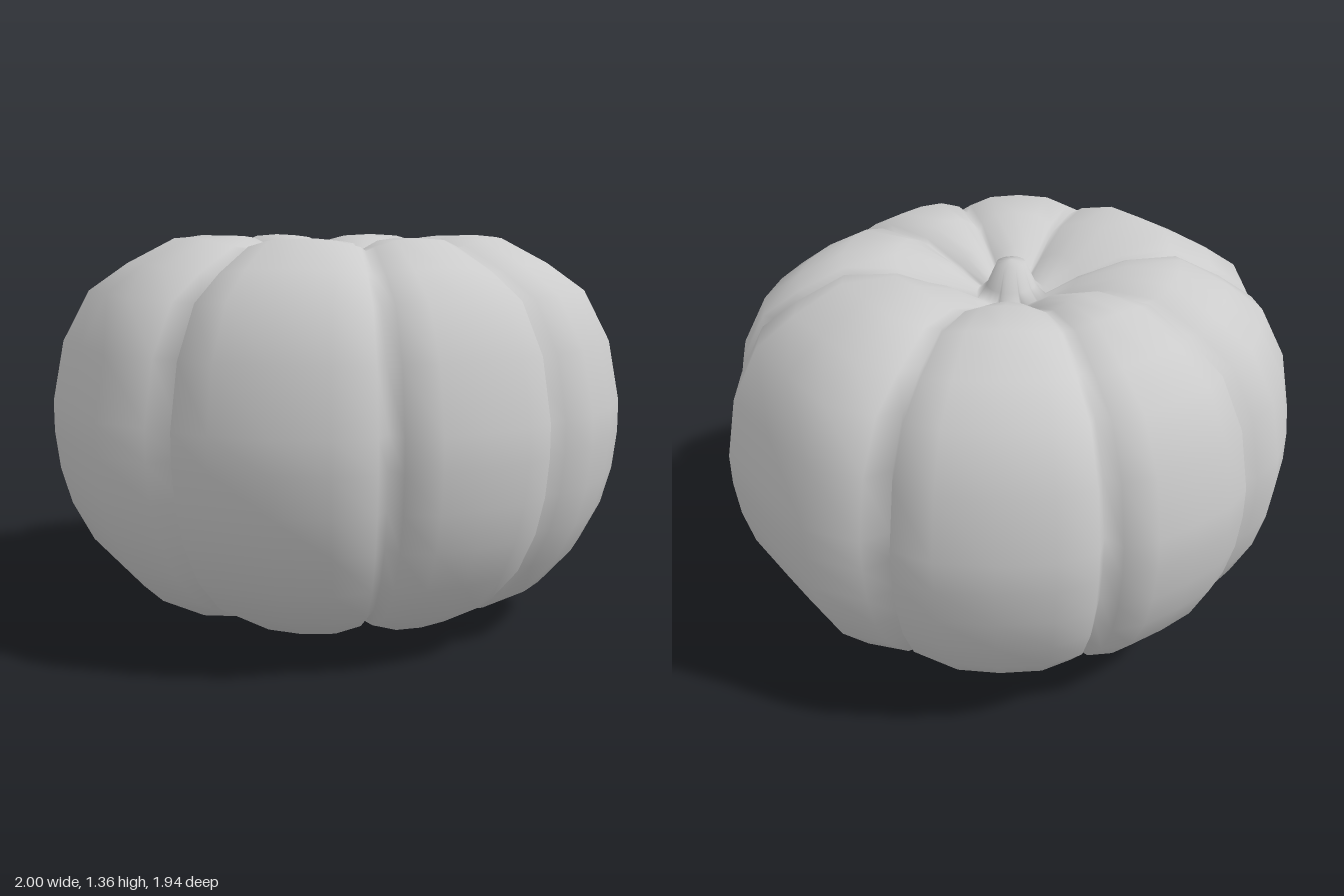
import * as THREE from 'three';

// Lobe section from the bottom dimple, round the belly, to the stalk tip:
// [radius, height, groove strength]
const PROFILE = [
  [0, 0.12, 0], [0.06, 0.1, 0.4], [0.2, 0.035, 1], [0.37, 0, 1], [0.61, 0.065, 1],
  [0.77, 0.155, 1], [0.88, 0.28, 1], [0.95, 0.42, 1], [0.985, 0.55, 1], [1, 0.68, 1],
  [1, 0.79, 1], [0.96, 1.0, 1], [0.87, 1.175, 1], [0.74, 1.27, 1], [0.58, 1.357, 1],
  [0.4, 1.355, 1], [0.23, 1.29, 0.9], [0.12, 1.22, 0.4], [0.085, 1.25, 0],
  [0.05, 1.33, 0], [0, 1.34, 0],
];

// Groove angles in degrees; the side lobes are wider than the front and back ones
const GROOVES = [-29, 29, 72, 108, 151, 209, 252, 288];
const STEPS = [-1, -0.88, -0.5, 0, 0.5, 0.88]; // columns across one lobe

// Columns running round the body: angle, radius factor, softness of the groove
function makeColumns() {
  const columns = [];
  GROOVES.forEach((start, i) => {
    const end = i < 7 ? GROOVES[i + 1] : 331;
    const half = (end - start) / 2;
    const wide = half > 25;
    for (const t of STEPS) {
      const a = THREE.MathUtils.degToRad(start + half * (t + 1));
      const d = Math.abs(t);
      let factor = 1;
      if (d === 1) factor = wide ? 0.9 : 0.915;
      else if (d > 0.8) factor = 0.985;
      else if (d > 0) factor = wide ? 1.03 : 1.005;
      columns.push({ a, d, factor, oval: 1 - 0.03 * Math.sin(a) ** 4 });
    }
  });
  return columns;
}

function bodyGeometry() {
  const columns = makeColumns();
  const rows = PROFILE.length;
  const n = columns.length;
  const positions = [];
  const indices = [];
  for (const { a, d, factor, oval } of columns) {
    for (const [r, y, groove] of PROFILE) {
      const f = 1 + (factor - 1) * groove;
      // grooves also sink vertically, more softly, over the shoulders and base
      const sink = groove * (1 - r * r) * (0.05 * d ** 4 + 0.012 * d);
      const radius = r * f * oval;
      positions.push(radius * Math.cos(a), y - sink * Math.sign(y - 0.68), radius * Math.sin(a));
    }
  }
  for (let i = 0; i < n; i++) {
    for (let j = 0; j < rows - 1; j++) {
      const p = i * rows + j;
      const q = ((i + 1) % n) * rows + j;
      if (j < rows - 2) indices.push(p, p + 1, q + 1);
      if (j > 0) indices.push(p, q + 1, q);
    }
  }
  // close the two poles, where the row collapses to a point
  for (let i = 0; i < n; i++) {
    const p = i * rows;
    const q = ((i + 1) % n) * rows;
    indices.push(p + rows - 2, p + rows - 1, q + rows - 2);
  }
  const geometry = new THREE.BufferGeometry();
  geometry.setAttribute('position', new THREE.Float32BufferAttribute(positions, 3));
  geometry.setIndex(indices);
  geometry.computeVertexNormals();
  // the pole vertices share one vertical normal
  const normals = geometry.attributes.normal;
  for (let i = 0; i < n; i++) {
    normals.setXYZ(i * rows, 0, -1, 0);
    normals.setXYZ(i * rows + rows - 1, 0, 1, 0);
  }
  return geometry;
}

export function createModel() {
  const group = new THREE.Group();
  group.name = 'pumpkin';
  const body = new THREE.Mesh(
    bodyGeometry(),
    new THREE.MeshStandardMaterial({ color: 0xcccccc, roughness: 0.8 }),
  );
  body.name = 'lobedBody';
  group.add(body);
  return group;
}
